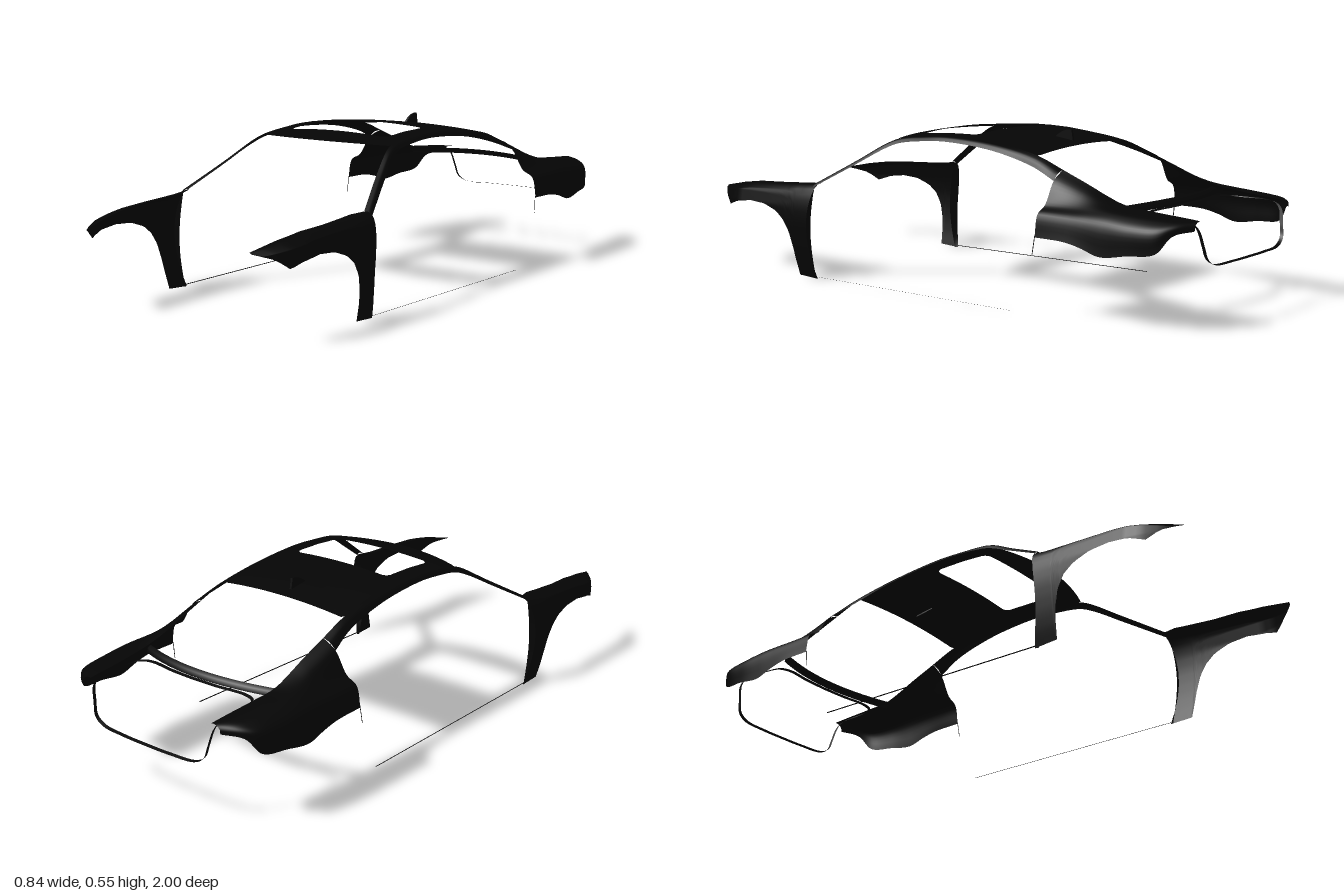
import * as THREE from 'three';

const paint = new THREE.MeshStandardMaterial({ color: 0x050505, side: THREE.DoubleSide });

// Piecewise-linear lookup in a table of [t, value] pairs, t ascending
function look(table, t) {
  if (t <= table[0][0]) return table[0][1];
  for (let i = 1; i < table.length; i++) {
    const [a, va] = table[i - 1], [b, vb] = table[i];
    if (t <= b) return va + (vb - va) * (t - a) / (b - a);
  }
  return table[table.length - 1][1];
}

// Smooth sheet through rows of [x, y, z] points
function sheet(name, rows) {
  const n = rows[0].length, index = [];
  for (let i = 0; i < rows.length - 1; i++) {
    for (let j = 0; j < n - 1; j++) {
      const a = i * n + j, b = a + n;
      index.push(a, b, a + 1, b, b + 1, a + 1);
    }
  }
  const g = new THREE.BufferGeometry();
  g.setAttribute('position', new THREE.Float32BufferAttribute(rows.flat(2), 3));
  g.setIndex(index);
  g.computeVertexNormals();
  const mesh = new THREE.Mesh(g, paint);
  mesh.name = name;
  return mesh;
}

const spline = (pts, n) =>
  new THREE.CatmullRomCurve3(pts.map(p => new THREE.Vector3(...p))).getPoints(n).map(p => p.toArray());

// Sheet lofted with splines in both directions
function loft(name, rows, across, along) {
  const fine = rows.map(r => spline(r, across));
  const columns = fine[0].map((_, j) => spline(fine.map(r => r[j]), along));
  return sheet(name, columns);
}

// Thin strip: a path and the same path shifted by an offset
function ribbon(name, path, offset) {
  return sheet(name, [path, path.map(p => p.map((v, i) => v + offset[i]))]);
}

const flip = (rows, s) => rows.map(r => r.map(([x, y, z]) => [x * s, y, z]));

// Roof skin with a rounded sunroof opening
const crown = [[-0.37, 0.501], [-0.3, 0.513], [-0.2, 0.526], [-0.12, 0.534], [-0.04, 0.537],
  [0.05, 0.535], [0.16, 0.526], [0.22, 0.516], [0.28, 0.504]];
const roofY = (x, z) => look(crown, z) - 0.015 * (x / 0.262) ** 2;

function roof() {
  const W = 0.2, D = 0.112, R = 0.025, zc = 0.043;
  const hole = new THREE.Shape();
  hole.absarc(W - R, D - R, R, 0, Math.PI / 2);
  hole.absarc(-W + R, D - R, R, Math.PI / 2, Math.PI);
  hole.absarc(-W + R, -D + R, R, Math.PI, Math.PI * 1.5);
  hole.absarc(W - R, -D + R, R, Math.PI * 1.5, Math.PI * 2);
  hole.closePath();
  const loop = hole.getSpacedPoints(240), rows = [];
  for (let k = 0; k <= 12; k++) {
    rows.push(loop.map(p => {
      const reach = p.y > 0 ? 0.177 : 0.413;
      const s = Math.min(0.262 / Math.abs(p.x || 1e-6), reach / Math.abs(p.y || 1e-6));
      const ox = p.x * s;
      let oz = p.y * s;
      if (oz > 0) oz *= 1 + 0.05 * (1 - (ox / 0.262) ** 2) / 0.177;
      const t = k / 12, x = p.x + (ox - p.x) * t, z = zc + p.y + (oz - p.y) * t;
      return [x, roofY(x, z), z];
    }));
  }
  return sheet('roof', rows);
}

// Front fender: sections along z, cut below by the wheel arch
const fenderTop = [[0.49, 0.335], [0.6, 0.327], [0.8, 0.316], [0.9, 0.302], [1, 0.282]];
const fenderInner = [[0.49, 0.365], [0.55, 0.347], [0.7, 0.355], [0.85, 0.345], [1, 0.325]];
const arch = [[0.49, 0], [0.576, 0.005], [0.582, 0.09], [0.6, 0.16], [0.625, 0.2], [0.66, 0.228],
  [0.72, 0.249], [0.79, 0.254], [0.86, 0.245], [0.91, 0.228], [0.95, 0.258], [1, 0.277]];
const bodySide = [[0, 0.388], [0.05, 0.401], [0.1, 0.41], [0.15, 0.416], [0.2, 0.419],
  [0.25, 0.417], [0.29, 0.409], [0.31, 0.401], [0.33, 0.388]];
const noseTaper = [[0.5, 0], [0.85, 0], [0.9, -0.012], [0.95, -0.037], [0.98, -0.06], [1, -0.08]];
const jambZ = y => 0.024 * Math.sin(Math.PI * Math.min(1, y / 0.33));

function fender(s) {
  const stations = [];
  for (let i = 0; i <= 20; i++) stations.push(0.49 + i * 0.006);
  for (let i = 1; i <= 26; i++) stations.push(0.61 + i * 0.015);
  const rows = stations.map(z => {
    const top = look(fenderTop, z), low = look(arch, z), xi = look(fenderInner, z);
    const shoulder = Math.max(low, top - 0.017), row = [];
    const side = y => Math.max(xi, look(bodySide, y) + look(noseTaper, z));
    row.push([xi, top, z], [(xi + side(shoulder)) / 2, top - 0.003, z]);
    for (let k = 0; k <= 16; k++) {
      const y = shoulder + (low - shoulder) * k / 16;
      row.push([side(y), y, z + jambZ(y) * Math.max(0, 1 - (z - 0.49) / 0.09)]);
    }
    return row;
  });
  const jamb = [];
  for (let k = 0; k <= 16; k++) {
    const y = 0.32 * k / 16, z = 0.49 + jambZ(y);
    jamb.push([[look(bodySide, y), y, z], [0.384, y, z + 0.012]]);
  }
  const g = new THREE.Group();
  g.name = 'frontFender';
  g.add(sheet('fenderSkin', flip(rows, s)), sheet('doorJamb', flip(jamb, s)));
  return g;
}

// Windscreen pillar running into the roof rail: [z, inner x, y, outer x, y]
const rail = [[0.5, 0.365, 0.336, 0.395, 0.323], [0.35, 0.305, 0.427, 0.335, 0.41],
  [0.25, 0.272, 0.488, 0.298, 0.468], [0.2, 0.26, 0.505, 0.286, 0.488],
  [0.1, 0.25, 0.517, 0.282, 0.502], [0, 0.25, 0.523, 0.28, 0.507], [-0.2, 0.25, 0.513, 0.283, 0.492],
  [-0.37, 0.261, 0.486, 0.293, 0.455], [-0.47, 0.265, 0.45, 0.315, 0.42]]
  .map(([z, a, b, c, d]) => [[a, b, z], [(a + c) / 2 + 0.004, (b + d) / 2 + 0.005, z], [c, d, z]]);

// Rear pillar and quarter panel: z, then x, y from the window edge outward and down
const quarter = [
  [-0.47, 0.265, 0.45, 0.315, 0.42, 0.36, 0.35, 0.4, 0.325, 0.415, 0.255],
  [-0.58, 0.268, 0.408, 0.312, 0.388, 0.358, 0.35, 0.4, 0.323, 0.416, 0.252],
  [-0.64, 0.271, 0.384, 0.316, 0.371, 0.362, 0.349, 0.401, 0.321, 0.415, 0.24],
  [-0.71, 0.275, 0.362, 0.32, 0.358, 0.365, 0.346, 0.402, 0.317, 0.413, 0.22],
  [-0.8, 0.27, 0.351, 0.32, 0.35, 0.365, 0.338, 0.4, 0.31, 0.406, 0.232],
  [-0.89, 0.265, 0.343, 0.312, 0.343, 0.35, 0.334, 0.384, 0.31, 0.388, 0.245],
  [-0.93, 0.264, 0.34, 0.3, 0.34, 0.332, 0.333, 0.352, 0.32, 0.358, 0.298],
  [-0.97, 0.262, 0.336, 0.275, 0.336, 0.288, 0.331, 0.296, 0.322, 0.297, 0.31]]
  .map(([z, ...v]) => [0, 2, 4, 6, 8].map(i => [v[i], v[i + 1], z]));

export function createModel() {
  const car = new THREE.Group();
  car.name = 'bodyShell';
  car.add(roof());

  for (const s of [1, -1]) {
    const half = new THREE.Group();
    half.name = s > 0 ? 'leftSide' : 'rightSide';
    half.add(
      fender(s),
      loft('pillarAndRoofRail', flip(rail, s), 6, 64),
      loft('rearQuarter', flip(quarter, s), 24, 56),
      ribbon('sillStrip', [[0.386 * s, 0.006, 0.5], [0.396 * s, 0.006, -0.37]], [0.005 * s, 0.001, 0]),
      ribbon('rearDoorEdge', [[0.413 * s, 0.26, -0.468], [0.416 * s, 0.2, -0.46]], [0, 0, -0.003]));
    car.add(half);
  }

  // Shelf bar below the rear window
  const bar = [];
  for (let i = 0; i <= 32; i++) {
    const x = -0.28 + 0.56 * i / 32, k = 1 - (x / 0.28) ** 2;
    const z = -0.695 - 0.058 * k, y = 0.356 + 0.008 * k;
    bar.push([[x, y, z], [x, y - 0.006, z - 0.015], [x, y - 0.021, z - 0.018]]);
  }
  car.add(sheet('rearShelf', bar));

  // Boot opening seal, a thin closed loop
  const halfLoop = [[0, 0.346, -0.778], [0.1, 0.344, -0.771], [0.2, 0.341, -0.757], [0.243, 0.338, -0.768],
    [0.258, 0.336, -0.81], [0.263, 0.33, -0.93], [0.26, 0.31, -0.953], [0.248, 0.26, -0.965],
    [0.236, 0.22, -0.972], [0.2, 0.199, -0.976], [0.1, 0.197, -0.986]];
  const loop = [...halfLoop, [0, 0.197, -0.988],
    ...halfLoop.slice(1).reverse().map(([x, y, z]) => [-x, y, z]), halfLoop[0]];
  car.add(ribbon('bootSeal', spline(loop, 160), [0, -0.003, -0.012]));

  // Roof fin aerial
  const fin = new THREE.Shape();
  fin.moveTo(0.25, 0.515);
  fin.quadraticCurveTo(0.28, 0.545, 0.318, 0.546);
  fin.lineTo(0.325, 0.505);
  fin.closePath();
  const aerial = new THREE.Mesh(new THREE.ExtrudeGeometry(fin, { depth: 0.008, bevelEnabled: false }), paint);
  aerial.name = 'aerial';
  aerial.rotation.y = Math.PI / 2;
  aerial.position.x = -0.004;
  car.add(aerial);
  return car;
}
